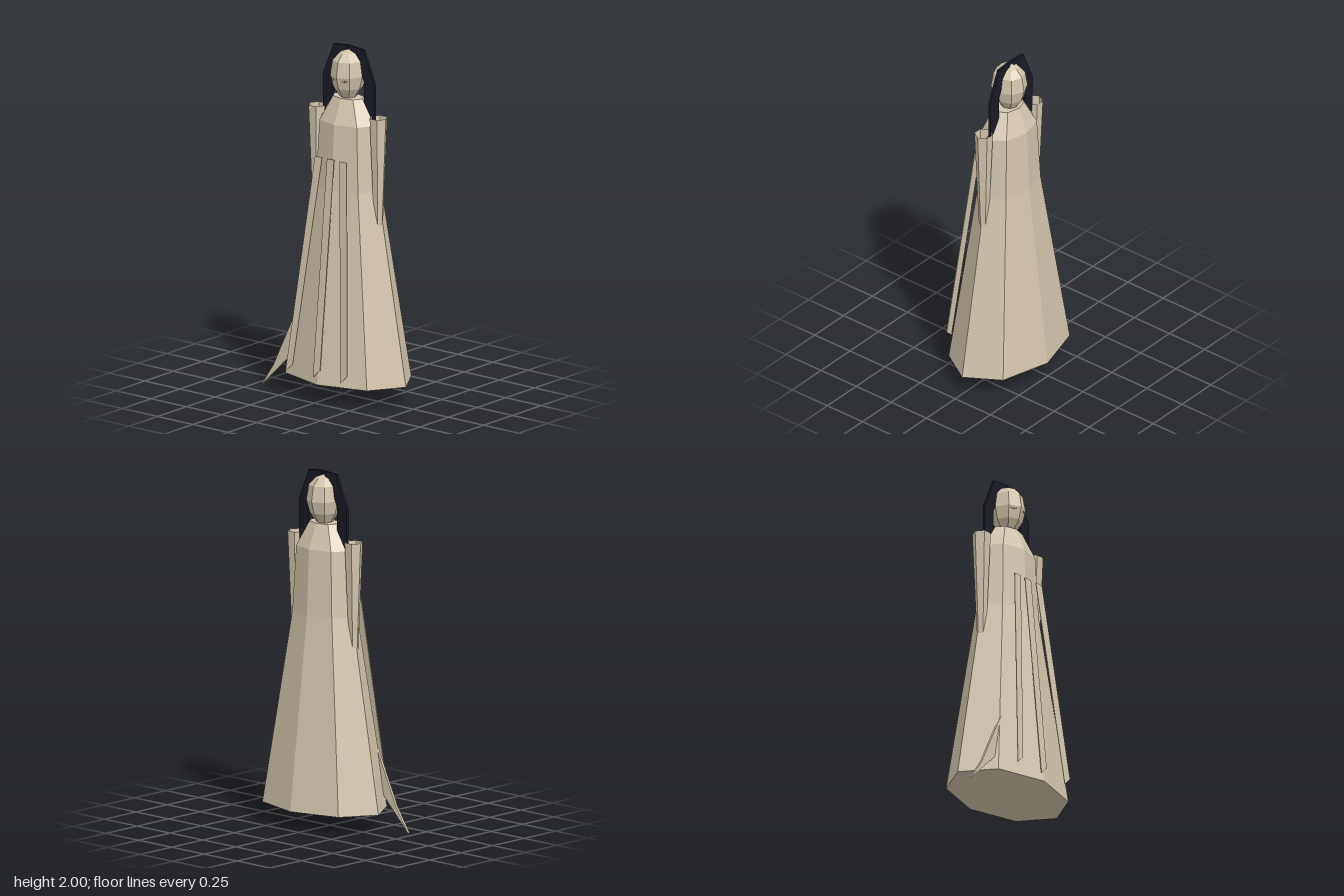
import * as THREE from 'three';

const CX = 0.036, CZ = -0.004; // axis of the figure

const mat = (name, color, side = THREE.FrontSide) => {
  const m = new THREE.MeshStandardMaterial({ color, side });
  m.name = name;
  return m;
};

// Faceted normals for the low-poly look
const facet = (g) => {
  const f = g.index ? g.toNonIndexed() : g;
  f.computeVertexNormals();
  return f;
};

const polygon = (pts) => new THREE.Shape(pts.map(([x, y]) => new THREE.Vector2(x, y)));

// Cross-sections [radius, y] turned around the axis, squashed in z
const turned = (pts, sides, depth) =>
  facet(new THREE.LatheGeometry(pts.map(([r, y]) => new THREE.Vector2(r, y)), sides).scale(1, 1, depth));

const plate = (pts, depth) =>
  facet(new THREE.ExtrudeGeometry(polygon(pts), { depth, bevelEnabled: false }));

export function createModel() {
  const group = new THREE.Group();
  const stone = mat('pale stone', 0xd2c5ac);
  const openStone = mat('pale stone cloth', 0xd2c5ac, THREE.DoubleSide);
  const dark = mat('dark blue black', 0x1a1a26);

  const add = (name, geometry, material, x = 0, y = 0, z = 0) => {
    const mesh = new THREE.Mesh(geometry, material);
    mesh.name = name;
    mesh.position.set(x, y, z);
    group.add(mesh);
    return mesh;
  };

  // Long robe with shoulders
  add('robe', turned([
    [0, 0.115], [0.409, 0.115], [0.31, 0.66], [0.212, 1.2],
    [0.187, 1.57], [0.1, 1.71], [0, 1.71],
  ], 8, 0.67), stone, CX, 0, CZ);

  // Head
  add('head', turned([
    [0, 1.66], [0.035, 1.66], [0.038, 1.7], [0.08, 1.765], [0.098, 1.835],
    [0.085, 1.92], [0.05, 1.96], [0.018, 1.972], [0, 1.972],
  ], 8, 1.07), stone, CX, 0, CZ);

  // Flat arch of hair behind the face
  const outer = [[0.182, 1.58], [0.182, 1.81], [0.106, 1.99], [0, 2]];
  const inner = [[0, 1.993], [0.05, 1.93], [0.11, 1.81], [0.11, 1.58]];
  const half = [...outer, ...inner];
  const mirrored = (pts) => pts.map(([x, y]) => [-x, y]).reverse();
  const arch = [...outer, ...mirrored(outer.slice(0, 3)),
    ...mirrored(inner.slice(1)), ...inner];
  add('hair', plate(arch, 0.015), dark, CX, 0, -0.02);

  for (const s of [1, -1]) {
    const side = s > 0 ? 'left' : 'right';

    // Open tapering sleeve
    const sleeve = new THREE.CylinderGeometry(0.052, 0.026, 0.615, 6, 1, true);
    sleeve.rotateY(Math.PI / 6 * 3);
    add(side + 'Sleeve', facet(sleeve), openStone, CX + s * 0.217, 1.3175, 0);

    // Eye lens with a small pupil
    const eye = new THREE.Group();
    eye.name = side + 'Eye';
    const lens = new THREE.Mesh(
      plate([[-0.018, 0], [0, -0.008], [0.018, 0], [0, 0.008]], 0.004), stone);
    lens.name = side + 'EyeLens';
    const pupil = new THREE.Mesh(new THREE.CircleGeometry(0.005, 8), dark);
    pupil.name = side + 'Pupil';
    pupil.position.z = 0.005;
    eye.add(lens, pupil);
    eye.position.set(CX + s * 0.043, 1.818, 0.082);
    eye.rotation.y = s * 0.42;
    group.add(eye);
  }

  // Three hanging strips that lean out with the skirt
  [[-0.075, -0.185], [0.01, 0.01], [0.1, 0.203]].forEach(([top, bottom], i) => {
    const strip = plate([
      [bottom, 0.155], [bottom + 0.047, 0.2], [top + 0.05, 1.38], [top, 1.38],
    ], 0.004);
    const p = strip.attributes.position;
    for (let k = 0; k < p.count; k++) {
      p.setZ(k, p.getZ(k) + 0.147 + (1.38 - p.getY(k)) * 0.1);
    }
    add('robeStrip' + (i + 1), facet(strip), openStone);
  });

  // Pointed ribbon trailing to the ground
  add('trailingRibbon', plate([
    [-0.45, 0], [-0.25, 0.2], [-0.18, 0.49], [-0.215, 0.44], [-0.36, 0.135],
  ], 0.014), stone, 0, 0, 0.15);

  return group;
}
